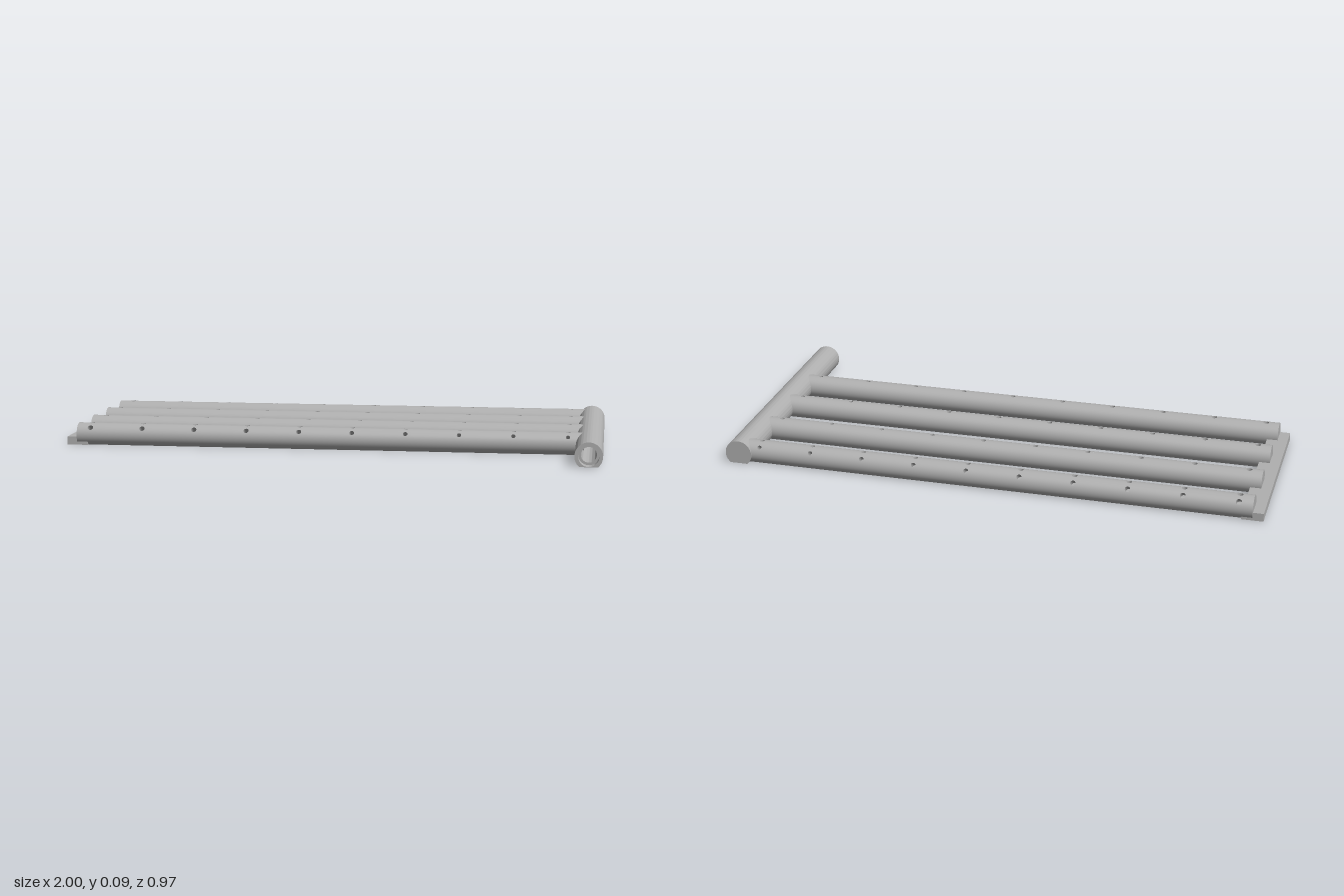
import * as THREE from 'three';
import { mergeGeometries, toCreasedNormals } from 'three/addons/utils/BufferGeometryUtils.js';
import { ParametricGeometry } from 'three/addons/geometries/ParametricGeometry.js';

const steel = new THREE.MeshStandardMaterial({ color: 0xb0b0b0 });
steel.name = 'grey steel';

const TUBE = { r: 0.043, cy: 0.037, x0: -0.962, x1: 0.93 };
const MAIN = { r: 0.05, cy: 0.038, x: 0.95, half: 0.487 };
const HOLE_X = Array.from({ length: 10 }, (_, i) => -0.911 + i * 0.198);
const HALF_BAND = 0.3; // half angle of the strip that carries a row of ports
const HALF_CELL = 0.02;
const HOLE_DEPTH = 0.03;

// Round profile with its underside cut flat on y = 0
function flatBottomProfile(r, cy) {
  const a = Math.asin(cy / r);
  return new THREE.Shape().absarc(0, cy, r, -a, Math.PI + a, false);
}

// Point on the tube wall; angle is measured from straight up towards +z
function onWall(target, angle, x, depth = 0) {
  const r = TUBE.r - depth;
  return target.set(x, TUBE.cy + r * Math.cos(angle), r * Math.sin(angle));
}

// Plain curved patch of the tube wall
function wallPatch(a0, a1, x0, x1) {
  const steps = Math.max(4, Math.ceil((a1 - a0) / 0.13));
  return new ParametricGeometry(
    (u, v, t) => onWall(t, a0 + (a1 - a0) * u, x0 + (x1 - x0) * v), steps, 1);
}

// Square wall cell with a drilled port: rim, bore and floor
function portCell(angle, x, radius) {
  const rim = new ParametricGeometry((u, v, t) => {
    const p = v * Math.PI * 2, c = Math.cos(p), s = Math.sin(p);
    const k = 1 / Math.max(Math.abs(c), Math.abs(s));
    const da = THREE.MathUtils.lerp(radius / TUBE.r * c, HALF_BAND * k * c, u);
    const dx = THREE.MathUtils.lerp(radius * s, HALF_CELL * k * s, u);
    onWall(t, angle + da, x + dx);
  }, 2, 16);
  const axis = new THREE.Vector3(0, Math.cos(angle), Math.sin(angle));
  const bore = new ParametricGeometry((u, v, t) => {
    const p = u * Math.PI * 2;
    onWall(t, angle + radius / TUBE.r * Math.cos(p), x + radius * Math.sin(p));
    t.addScaledVector(axis, -HOLE_DEPTH * v);
  }, 16, 1);
  const floor = new THREE.CircleGeometry(radius * 1.05, 16);
  floor.rotateX(-Math.PI / 2 + angle);
  const d = TUBE.r - HOLE_DEPTH;
  floor.translate(x, TUBE.cy + d * axis.y, d * axis.z);
  return [rim, bore, floor];
}

// Strip of wall along the tube, pierced by a row of ports
function portStrip(angle) {
  const parts = [];
  const a0 = angle - HALF_BAND, a1 = angle + HALF_BAND;
  let x = TUBE.x0;
  HOLE_X.forEach((hx, i) => {
    parts.push(wallPatch(a0, a1, x, hx - HALF_CELL));
    parts.push(...portCell(angle, hx, 0.0105 - i * 0.0003));
    x = hx + HALF_CELL;
  });
  parts.push(wallPatch(a0, a1, x, TUBE.x1));
  return parts;
}

// Burner tube with port rows at the given angles (in rising order)
function burnerTube(rows) {
  const limit = Math.PI / 2 + Math.asin(TUBE.cy / TUBE.r);
  const parts = [];
  let a = -limit;
  for (const row of rows) {
    parts.push(wallPatch(a, row - HALF_BAND, TUBE.x0, TUBE.x1), ...portStrip(row));
    a = row + HALF_BAND;
  }
  parts.push(wallPatch(a, limit, TUBE.x0, TUBE.x1));

  const width = 2 * TUBE.r * Math.sin(limit);
  const underside = new THREE.PlaneGeometry(TUBE.x1 - TUBE.x0, width);
  underside.rotateX(Math.PI / 2);
  underside.translate((TUBE.x0 + TUBE.x1) / 2, 0, 0);
  const cap = new THREE.ShapeGeometry(flatBottomProfile(TUBE.r, TUBE.cy), 40);
  cap.rotateY(-Math.PI / 2);
  cap.translate(TUBE.x0, 0, 0);
  parts.push(underside, cap);
  return mergeGeometries(parts);
}

// Length of the supply pipe from z0 to z1, bored out if bore > 0
function pipeSection(z0, z1, bore) {
  const shape = flatBottomProfile(MAIN.r, MAIN.cy);
  if (bore > 0) shape.holes.push(new THREE.Path().absarc(0, MAIN.cy, bore, 0, Math.PI * 2, true));
  const g = new THREE.ExtrudeGeometry(shape, { depth: z1 - z0, bevelEnabled: false, curveSegments: 48 });
  g.translate(MAIN.x, 0, z0);
  return toCreasedNormals(g, 0.5);
}

export function createModel() {
  const model = new THREE.Group();
  model.name = 'burner';
  const add = (name, geometry, z = 0) => {
    const mesh = new THREE.Mesh(geometry, steel);
    mesh.name = name;
    mesh.position.z = z;
    model.add(mesh);
  };

  // Four burner tubes; the outer two have a second row facing outwards
  const side = 0.84;
  add('backBurnerTube', burnerTube([-side, 0]), -0.441);
  add('innerBackBurnerTube', burnerTube([0]), -0.232);
  add('innerFrontBurnerTube', burnerTube([0]), -0.013);
  add('frontBurnerTube', burnerTube([0, side]), 0.195);

  // Supply pipe with a stepped socket at its front end
  const h = MAIN.half;
  add('supplyPipe', mergeGeometries([
    pipeSection(h - 0.04, h, 0.037),
    pipeSection(-h + 0.04, h - 0.04, 0.028),
    pipeSection(-h, -h + 0.04, 0),
  ]));

  // Flat bar tying the free tube ends together
  const bar = new THREE.BoxGeometry(0.078, 0.03, 0.705);
  bar.translate(-0.961, 0.015, -0.122);
  add('supportBar', bar);

  return model;
}
